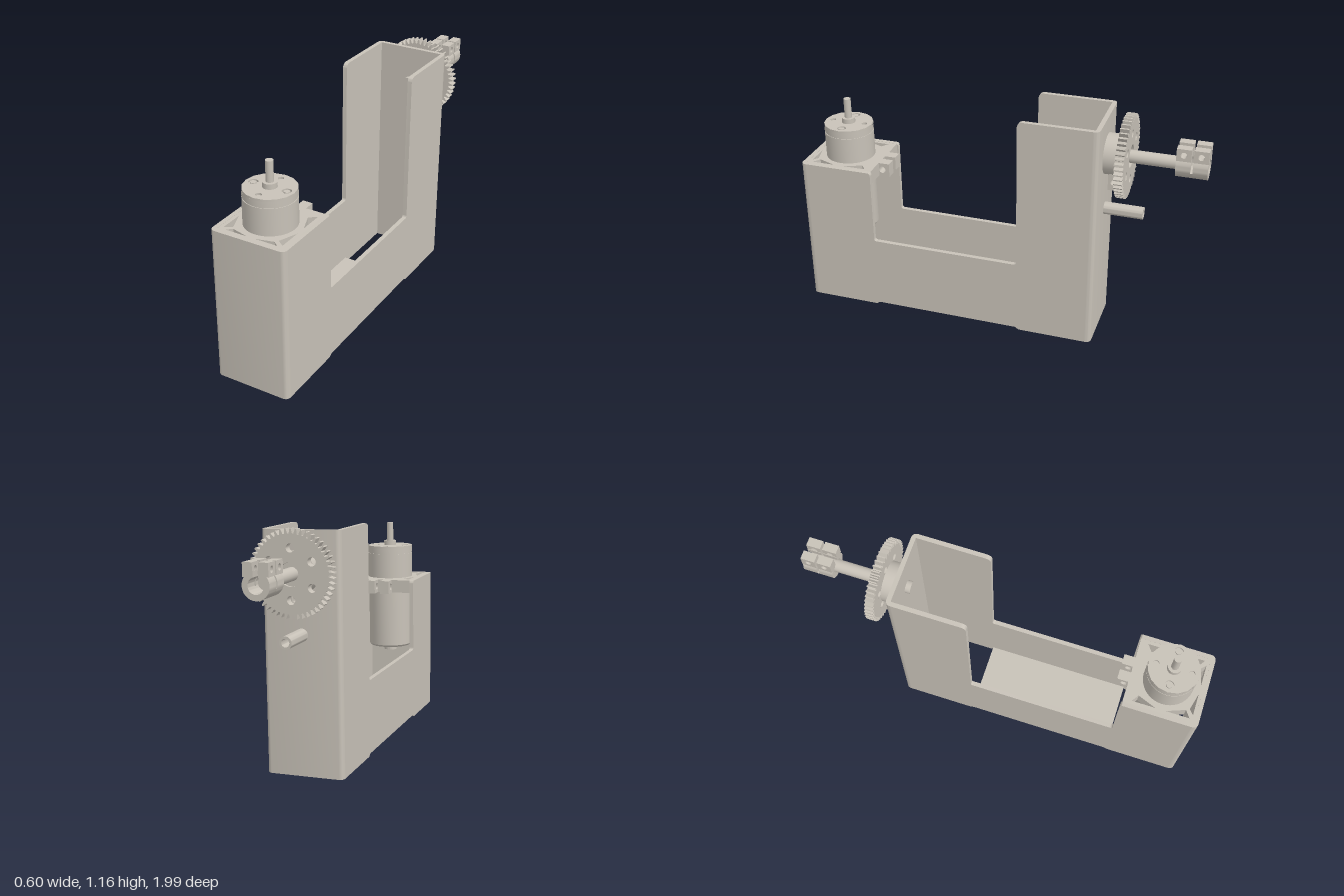
import * as THREE from 'three';
import { toCreasedNormals } from 'three/addons/utils/BufferGeometryUtils.js';

const grey = new THREE.MeshStandardMaterial({ color: 0xc8c2b8 });
grey.name = 'warm grey plastic';

// Overall sizes: half width, half length, wall thickness
const HW = 0.189, HL = 0.7535, T = 0.022, R = 0.028;
const MOTOR_Z = 0.566, SHAFT_Y = 0.955;

function add(parent, name, geometry, x = 0, y = 0, z = 0) {
  const mesh = new THREE.Mesh(geometry, grey);
  mesh.name = name;
  mesh.position.set(x, y, z);
  parent.add(mesh);
  return mesh;
}

// Closed outline from [x, y, cornerRadius] points
function outline(points) {
  const shape = new THREE.Shape();
  points.forEach(([x, y, r = 0], i) => {
    const p = new THREE.Vector2(x, y);
    const toward = (q) => p.clone().add(new THREE.Vector2(q[0] - x, q[1] - y).setLength(r));
    const a = toward(points.at(i - 1)), b = toward(points[(i + 1) % points.length]);
    if (i === 0) shape.moveTo(a.x, a.y); else shape.lineTo(a.x, a.y);
    if (r > 0) shape.quadraticCurveTo(x, y, b.x, b.y);
  });
  shape.closePath();
  return shape;
}

function circleHole(shape, x, y, r) {
  const hole = new THREE.Path();
  hole.absarc(x, y, r, 0, Math.PI * 2, true);
  shape.holes.push(hole);
}

// Extrusion centred on its depth, along z
function slab(shape, depth, curveSegments = 8) {
  const g = new THREE.ExtrudeGeometry(shape, { depth, bevelEnabled: false, curveSegments });
  return toCreasedNormals(g.translate(0, 0, -depth / 2), 0.6);
}
const alongX = (shape, depth) => slab(shape, depth).rotateY(-Math.PI / 2); // shape x becomes z
const alongY = (shape, depth) => slab(shape, depth).rotateX(-Math.PI / 2); // shape y becomes -z
const rod = (r, h, n = 32) => new THREE.CylinderGeometry(r, r, h, n);
const rodZ = (r, h, n = 32) => rod(r, h, n).rotateX(Math.PI / 2);

// Clamp ear with a cross bolt hole
function ear(parent, name, w, h, d, x, y, z) {
  const s = outline([[-d / 2, -h / 2], [d / 2, -h / 2], [d / 2, h / 2], [-d / 2, h / 2]]);
  circleHole(s, 0, 0, Math.min(h, d) * 0.25);
  add(parent, name, alongX(s, w), x, y, z);
}

function buildHousing() {
  const g = new THREE.Group();
  g.name = 'housing';
  const e = HL - R;
  const side = outline([
    [-e, 0], [-0.385, 0], [-0.365, 0.012], [0.37, 0.012], [0.39, 0], [e, 0],
    [e, 0.762], [0.38, 0.762, 0.015], [0.38, 0.38, 0.012],
    [-0.37, 0.38, 0.012], [-0.37, 1.14, 0.03], [-e, 1.14],
  ]);
  for (const s of [-1, 1]) add(g, 'sideWall', alongX(side, T), s * (HW - T / 2), 0, 0);
  // End walls with rounded upright edges
  for (const [name, s, h] of [['frontWall', 1, 0.762], ['backWall', -1, 1.14]]) {
    const a = -s * HL, b = -s * (HL - R), c = -s * (HL - T);
    const wall = outline([[-HW, b], [-HW, a, R], [HW, a, R], [HW, b],
      [HW - T, b], [HW - T, c], [T - HW, c], [T - HW, b]]);
    add(g, name, alongY(wall, h), 0, h / 2, 0);
  }
  add(g, 'channelFloor', new THREE.BoxGeometry(2 * (HW - T), 0.018, 0.75), 0, 0.021, 0.005);
  return g;
}

function buildMotor() {
  const g = new THREE.Group();
  g.name = 'motor';
  g.position.z = MOTOR_Z;
  // Mounting plate with slots around the motor
  const plate = outline([[-0.167, -0.166], [0.167, -0.166], [0.167, 0.18], [-0.167, 0.18]]);
  for (const s of [-1, 1]) {
    for (const t of [-1, 1]) {
      plate.holes.push(outline([[s * 0.15, t * 0.025], [s * 0.15, t * 0.14], [s * 0.115, t * 0.115]]));
    }
    plate.holes.push(outline([[s * 0.02, -0.152], [s * 0.13, -0.152], [s * 0.105, -0.13]]));
  }
  circleHole(plate, 0, 0, 0.12);
  add(g, 'mountingPlate', alongY(plate, 0.068), 0, 0.727, 0);
  for (const s of [-1, 1]) ear(g, 'plateClampEar', 0.05, 0.07, 0.075, s * 0.04, 0.726, -0.197);

  // Gearbox, motor can and output shaft
  const profile = [[0, 0.34], [0.035, 0.34], [0.035, 0.37], [0.11, 0.37], [0.118, 0.38], [0.118, 0.7],
    [0.122, 0.7], [0.122, 0.893], [0.119, 0.893], [0.119, 0.898], [0.122, 0.898], [0.122, 0.925]];
  const can = new THREE.LatheGeometry(profile.map(([x, y]) => new THREE.Vector2(x, y)), 40);
  add(g, 'gearbox', toCreasedNormals(can, 0.6));
  const cap = new THREE.Shape();
  cap.absarc(0, 0, 0.122, 0, Math.PI * 2, false);
  for (let i = 0; i < 4; i++) {
    const a = i * Math.PI / 2;
    circleHole(cap, 0.085 * Math.cos(a), 0.085 * Math.sin(a), i % 2 ? 0.014 : 0.022);
  }
  add(g, 'gearboxCap', alongY(cap, 0.012), 0, 0.929, 0);
  add(g, 'gearboxInnerFace', rod(0.12, 0.004), 0, 0.923, 0);
  for (const s of [-1, 1]) add(g, 'capScrew', rod(0.014, 0.01, 12), s * 0.085, 0.929, 0);
  add(g, 'shaftBoss', rod(0.033, 0.026, 24), 0, 0.947, 0);
  add(g, 'motorShaft', rod(0.018, 0.125, 16), 0, 0.997, 0);
  return g;
}

function buildGear() {
  const teeth = 50, points = [];
  for (let i = 0; i < teeth; i++) {
    for (const [f, r] of [[0, 0.178], [0.3, 0.178], [0.5, 0.2], [0.75, 0.2]]) {
      const a = (i + f) / teeth * Math.PI * 2;
      points.push([r * Math.cos(a), r * Math.sin(a)]);
    }
  }
  const shape = outline(points);
  circleHole(shape, 0, 0, 0.055);
  for (let i = 0; i < 6; i++) {
    const a = (i + 0.5) * Math.PI / 3;
    circleHole(shape, 0.115 * Math.cos(a), 0.115 * Math.sin(a), 0.02);
  }
  return slab(shape, 0.042, 10);
}

function buildDrive() {
  const g = new THREE.Group();
  g.name = 'drive';
  g.position.y = SHAFT_Y;
  add(g, 'gear', buildGear(), 0, 0, -0.846);
  add(g, 'gearHub', rodZ(0.098, 0.075), 0, 0, -0.788);
  add(g, 'gearCore', rodZ(0.058, 0.03), 0, 0, -0.838);
  for (const s of [-1, 1]) ear(g, 'hubClampEar', 0.045, 0.08, 0.05, s * 0.035, -0.122, -0.8);
  add(g, 'driveShaft', rodZ(0.031, 0.43, 24), 0, 0, -0.921);

  // Split clamp: open ring with two pairs of bolted ears
  const ring = new THREE.Shape();
  const open = 0.35, top = Math.PI / 2;
  ring.absarc(0, 0, 0.062, top - open / 2, top + open / 2, true);
  ring.absarc(0, 0, 0.036, top + open, top - open, false);
  ring.closePath();
  for (const z of [-1.114, -1.193]) {
    add(g, 'clampRing', slab(ring, 0.068, 24), 0, 0, z);
    for (const s of [-1, 1]) ear(g, 'clampEar', 0.044, 0.06, 0.068, s * 0.036, 0.066, z);
  }
  const saddle = new THREE.Shape();
  saddle.absarc(0, 0, 0.062, Math.PI * 1.1, Math.PI * 1.9, false);
  saddle.absarc(0, 0, 0.036, Math.PI * 1.9, Math.PI * 1.1, true);
  saddle.closePath();
  add(g, 'clampSaddle', slab(saddle, 0.013, 16), 0, 0, -1.1535);

  // Hollow stop pin under the gear
  const pin = new THREE.Shape();
  pin.absarc(0, 0, 0.03, 0, Math.PI * 2, false);
  circleHole(pin, 0, 0, 0.019);
  add(g, 'stopPin', slab(pin, 0.195, 20), 0, -0.29, -0.845);
  return g;
}

export function createModel() {
  const model = new THREE.Group();
  model.name = 'motorBracket';
  const body = new THREE.Group();
  body.name = 'assembly';
  body.add(buildHousing(), buildMotor(), buildDrive());
  // Slightly turned and leaning pose
  body.rotation.set(0, -0.124, -0.014, 'ZYX');
  body.position.set(-0.02, 0.004, 0.226);
  model.add(body);
  return model;
}
